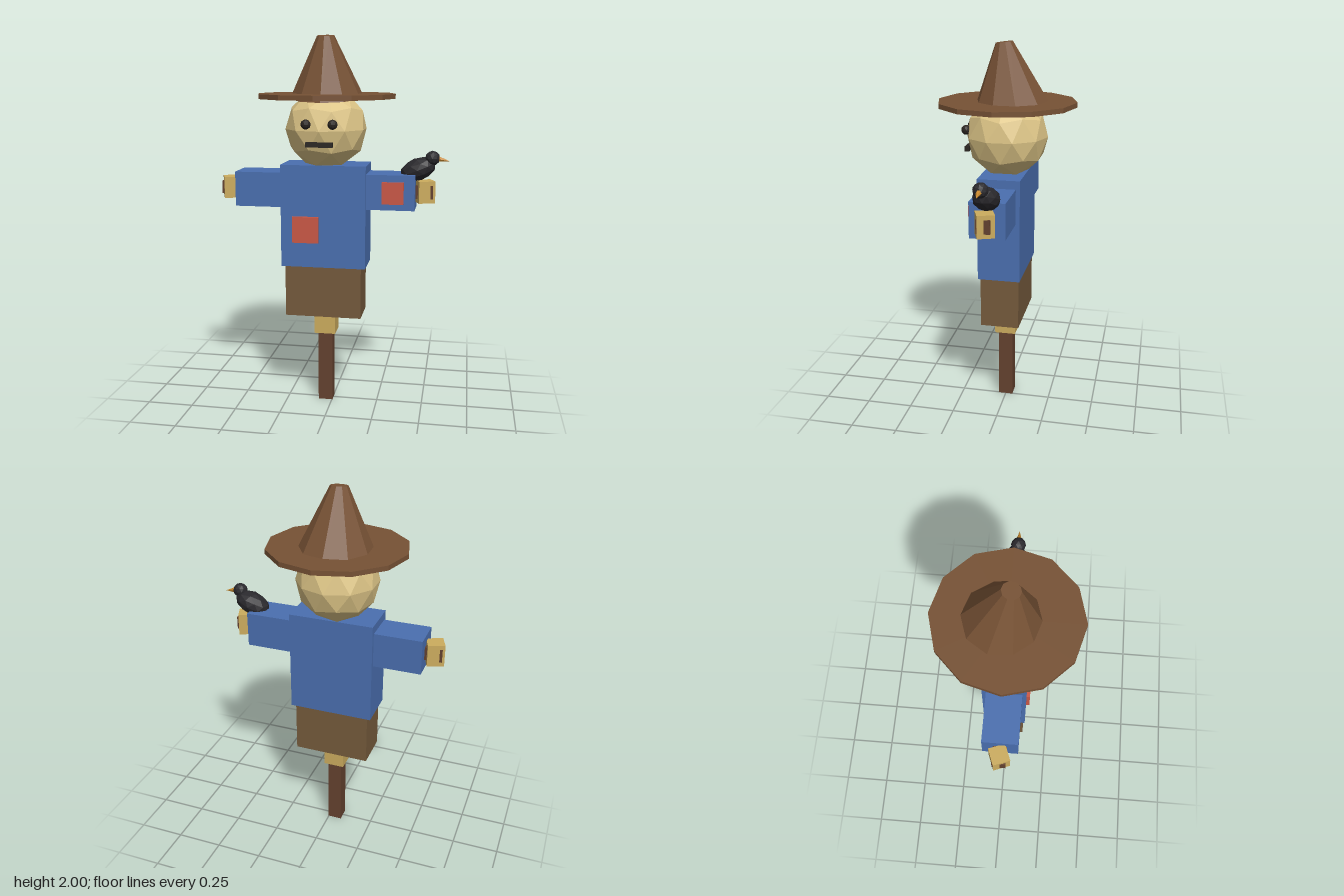
import * as THREE from 'three';

const CX = -0.036; // post axis

export function createModel() {
  const root = new THREE.Group();
  const mat = (color) => new THREE.MeshStandardMaterial({ color, flatShading: true });
  const M = {
    shirt: mat(0x4a6fb0), trousers: mat(0x755a3c), straw: mat(0xccac5e), wood: mat(0x64422f),
    hat: mat(0x775235), face: mat(0xdcc486), patch: mat(0xcb5846), dark: mat(0x2b2622),
    crow: mat(0x29282c), beak: mat(0xc8892e),
  };

  const add = (name, geo, material, x, y, z = 0, parent = root) => {
    const mesh = new THREE.Mesh(geo, material);
    mesh.name = name;
    mesh.position.set(x, y, z);
    parent.add(mesh);
    return mesh;
  };
  // Box given by its limits on each axis
  const box = (name, material, [x0, x1], [y0, y1], [z0, z1]) =>
    add(name, new THREE.BoxGeometry(x1 - x0, y1 - y0, z1 - z0), material,
      (x0 + x1) / 2, (y0 + y1) / 2, (z0 + z1) / 2);
  // Faceted ball with a corner at its top
  const ball = (r) => new THREE.IcosahedronGeometry(r, 1)
    .rotateX(-Math.atan((1 + Math.sqrt(5)) / 2)).rotateY(Math.PI / 2);

  // Wooden frame
  box('post', M.wood, [CX - 0.039, CX + 0.039], [0, 0.5], [-0.039, 0.039]);
  box('crossbar', M.wood, [-0.607, 0.535], [1.16, 1.23], [-0.035, 0.035]);

  // Clothes and straw
  box('strawStub', M.straw, [-0.093, 0.021], [0.396, 0.52], [-0.057, 0.057]);
  box('trousers', M.trousers, [-0.243, 0.168], [0.507, 0.79], [-0.103, 0.103]);
  box('shirt', M.shirt, [-0.263, 0.191], [0.785, 1.333], [-0.112, 0.112]);
  box('chestPatch', M.patch, [-0.198, -0.058], [0.92, 1.06], [0.1, 0.13]);
  box('sleevePatch', M.patch, [0.274, 0.387], [1.137, 1.252], [0.08, 0.107]);

  // Sleeves and twisted straw hands
  for (const [side, s] of [['left', 1], ['right', -1]]) {
    add(side + 'Sleeve', new THREE.BoxGeometry(0.28, 0.185, 0.182), M.shirt, CX + s * 0.34, 1.196);
    add(side + 'Hand', new THREE.BoxGeometry(0.088, 0.115, 0.088), M.straw, CX + s * 0.526, 1.195)
      .rotation.y = 0.36;
  }

  // Head and face
  add('head', ball(0.217), M.face, CX, 1.517);
  for (const [side, s] of [['left', 1], ['right', -1]])
    add(side + 'Eye', ball(0.026), M.dark, CX + s * 0.069, 1.552, 0.204);
  box('mouth', M.dark, [-0.106, 0.033], [1.437, 1.463], [0.19, 0.215]);

  // Hat: flat brim with a cone leaning forward
  add('hatBrim', new THREE.CylinderGeometry(0.365, 0.365, 0.025, 12), M.hat, CX, 1.688);
  add('hatCone', new THREE.CylinderGeometry(0.045, 0.196, 0.317, 10), M.hat, CX, 1.838, -0.003)
    .rotation.x = 0.117;

  // Crow perched on the left sleeve
  const crow = new THREE.Group();
  crow.name = 'crow';
  root.add(crow);
  const body = add('crowBody', ball(0.068), M.crow, 0.452, 1.311, 0, crow);
  body.scale.set(1.45, 0.87, 1);
  body.rotation.z = 0.38;
  add('crowHead', ball(0.039), M.crow, 0.527, 1.372, 0.01, crow);
  add('crowBeak', new THREE.ConeGeometry(0.017, 0.065, 6), M.beak, 0.583, 1.364, 0.01, crow)
    .rotation.z = -Math.PI / 2 - 0.2;

  return root;
}
